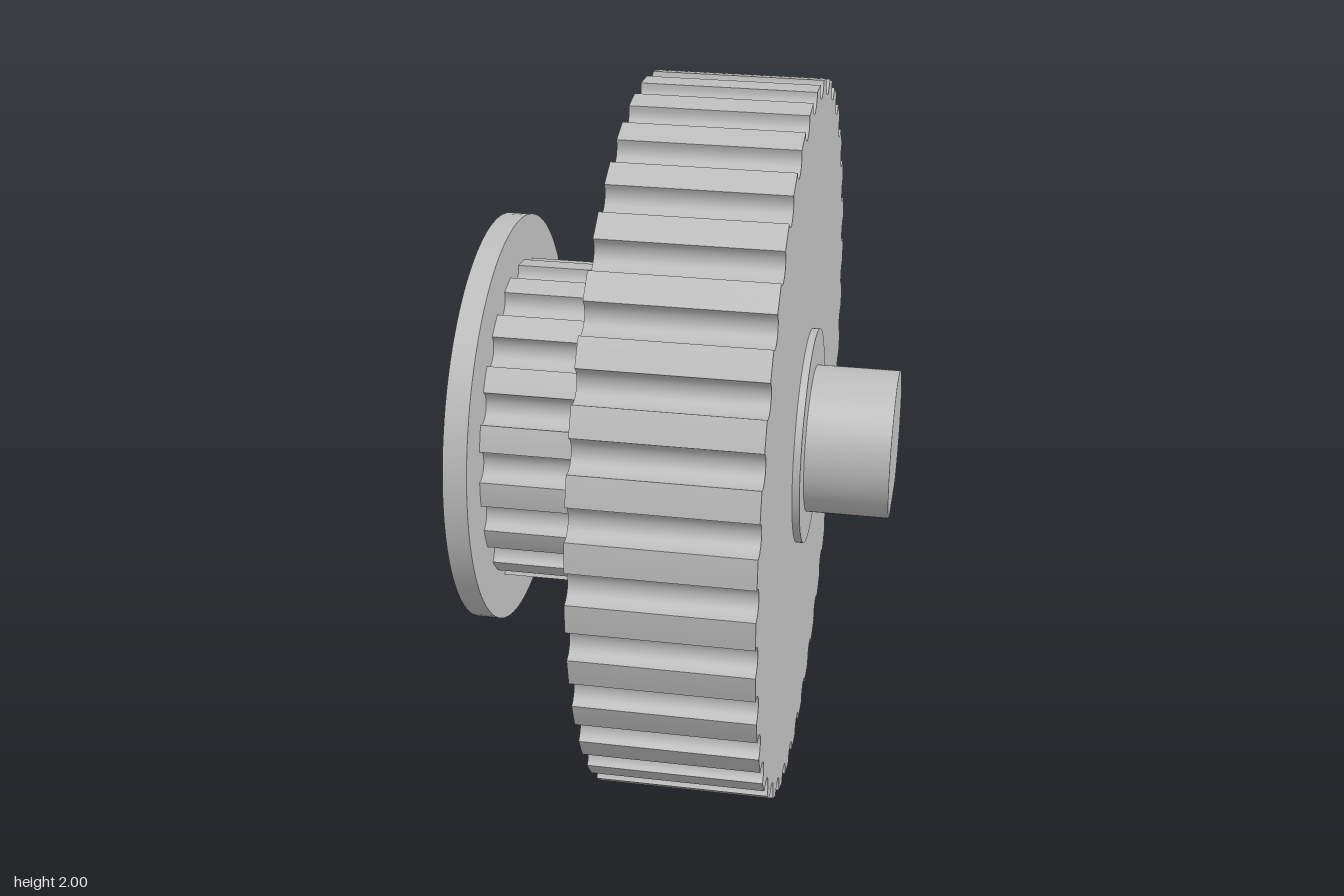
import * as THREE from 'three';
import { toCreasedNormals } from 'three/addons/utils/BufferGeometryUtils.js';

const metal = new THREE.MeshStandardMaterial({ color: 0xbfbfbf });
metal.name = 'grey metal';

// Circle cut by a flat at y = flat (flat = -r gives a full circle)
function roundPoints(r, flat = -r, n = 96) {
  const cut = Math.acos(Math.min(1, -flat / r));
  const pts = [];
  const start = -Math.PI / 2 + cut, sweep = 2 * Math.PI - 2 * cut;
  const count = cut > 0 ? n + 1 : n;
  for (let i = 0; i < count; i++) {
    const a = start + (sweep * i) / n;
    pts.push(new THREE.Vector2(r * Math.cos(a), r * Math.sin(a)));
  }
  return pts;
}

// Toothed belt wheel outline: round grooves cut into the rim, one at the top
function toothedPoints(R, teeth, g) {
  const pts = [];
  const half = Math.asin(g / R), c = Math.sqrt(R * R - g * g);
  const pitch = (2 * Math.PI) / teeth;
  for (let i = 0; i < teeth; i++) {
    const a = Math.PI / 2 + i * pitch;
    const cos = Math.cos(a), sin = Math.sin(a);
    for (let k = 0; k <= 12; k++) {
      const t = (Math.PI * k) / 12;
      const radial = c - g * Math.sin(t), side = -g * Math.cos(t);
      pts.push(new THREE.Vector2(radial * cos - side * sin, radial * sin + side * cos));
    }
    for (let k = 1; k < 4; k++) {
      const b = a + half + ((pitch - 2 * half) * k) / 4;
      pts.push(new THREE.Vector2(R * Math.cos(b), R * Math.sin(b)));
    }
  }
  return pts;
}

export function createModel() {
  const model = new THREE.Group();
  model.name = 'stepped belt pulley';

  // Extrude an outline along the x axis from x0 to x1
  function part(name, points, x0, x1, { y = 1, bore = false } = {}) {
    const shape = new THREE.Shape(points);
    if (bore) shape.holes.push(new THREE.Path(roundPoints(0.066, -0.045, 32)));
    const geo = new THREE.ExtrudeGeometry(shape, { depth: x1 - x0, bevelEnabled: false });
    geo.rotateY(Math.PI / 2);
    const mesh = new THREE.Mesh(toCreasedNormals(geo, 0.5), metal);
    mesh.name = name;
    mesh.position.set(x0, y, 0);
    model.add(mesh);
  }

  // Large wheel
  part('largeToothedWheel', toothedPoints(1, 38, 0.043), -0.15, 0.315);

  // Small wheel between two flanges, with a D-shaped bore
  part('innerFlange', roundPoints(0.58), -0.215, -0.15, { bore: true });
  part('smallToothedWheel', toothedPoints(0.455, 18, 0.043), -0.505, -0.215, { bore: true });
  part('outerFlange', roundPoints(0.58), -0.57, -0.505, { bore: true });

  // Shoulder and D-shaped shaft
  part('shaftShoulder', roundPoints(0.302), 0.315, 0.335, { y: 1.012 });
  part('shaft', roundPoints(0.207, -0.177), 0.335, 0.567, { y: 1.005 });

  return model;
}
